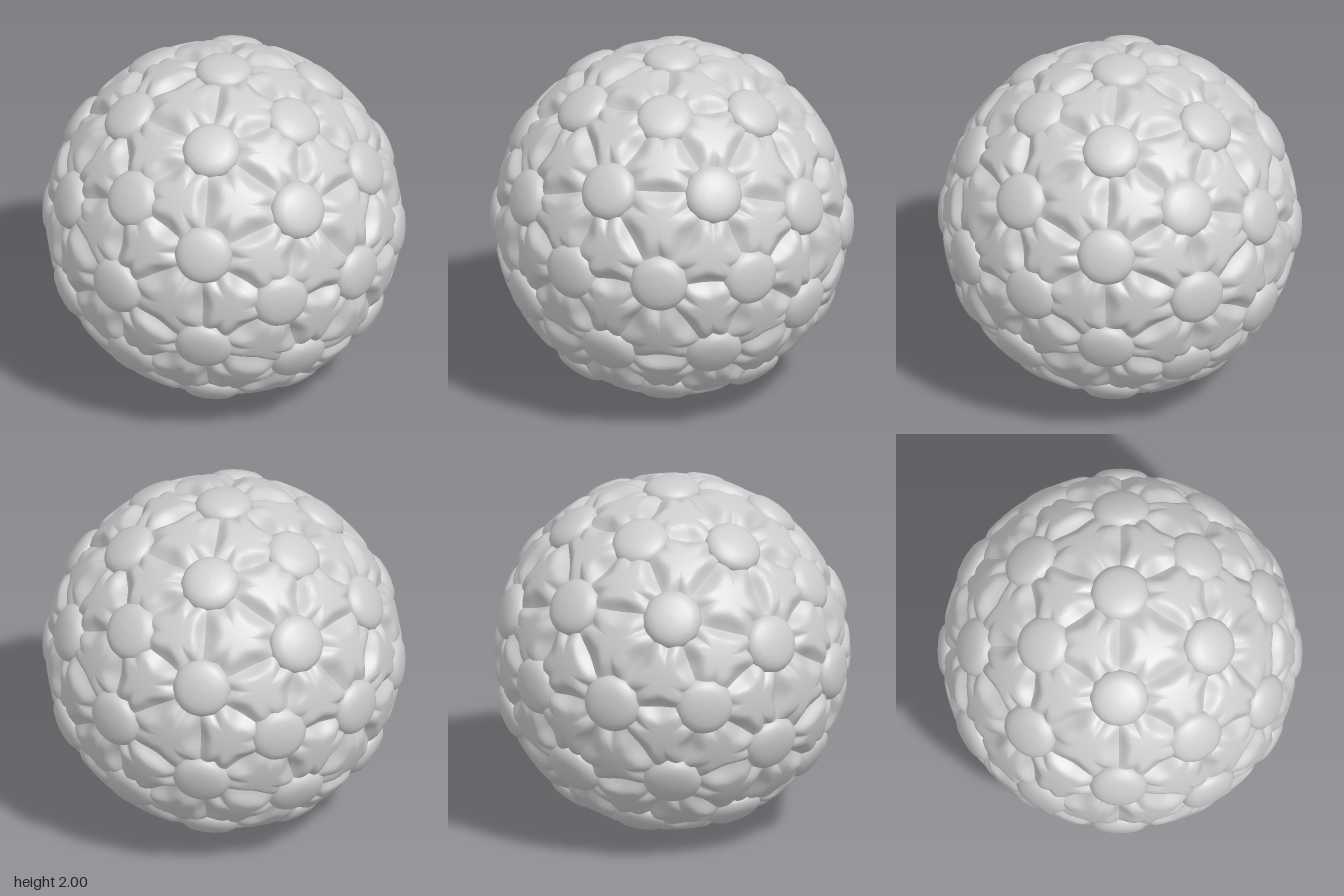
import * as THREE from 'three';
import { mergeGeometries } from 'three/addons/utils/BufferGeometryUtils.js';

const SEGS = 16; // steps along each side of a triangular lobe
const RINGS = 10;
const TOP = 0.978; // radius of the lobe plateaus

// One fluted lobe: a raised plateau falling to the three seams around it
function lobe(corners) {
  const centre = new THREE.Vector3();
  corners.forEach((c) => centre.add(c));
  centre.normalize();
  const pos = [centre.x * TOP, centre.y * TOP, centre.z * TOP];
  const index = [];
  const n = SEGS * 3;
  const p = new THREE.Vector3();
  for (let ring = 1; ring <= RINGS; ring++) {
    for (let i = 0; i < n; i++) {
      const side = Math.floor(i / SEGS);
      const s = (i % SEGS) / SEGS;
      const rim = corners[side].clone().lerp(corners[(side + 1) % 3], s).normalize();
      // Six ridges run out beside the seams, with grooves between them
      const ridge = Math.sin(2 * Math.PI * s) ** 2;
      const start = 0.085 + 0.045 * ridge;
      const end = Math.min(centre.angleTo(rim), 0.235);
      p.copy(centre).lerp(rim, ring / RINGS).normalize();
      const fall = ring === RINGS ? 1 : THREE.MathUtils.smoothstep(centre.angleTo(p), start, end * 1.04);
      const radius = TOP - (0.056 - 0.024 * ridge) * fall;
      p.multiplyScalar(radius);
      pos.push(p.x, p.y, p.z);
      const j = (i + 1) % n;
      const a = 1 + (ring - 1) * n;
      if (ring === 1) index.push(0, 1 + i, 1 + j);
      else index.push(a - n + i, a + i, a + j, a - n + i, a + j, a - n + j);
    }
  }
  const g = new THREE.BufferGeometry();
  g.setAttribute('position', new THREE.Float32BufferAttribute(pos, 3));
  g.setIndex(index);
  g.computeVertexNormals();
  return g;
}

export function createModel() {
  const group = new THREE.Group();
  const grey = new THREE.MeshStandardMaterial({ color: 0xcccccc });
  grey.name = 'light grey';

  // Eighty triangles of a subdivided icosahedron lay out the whole shell
  const layout = new THREE.IcosahedronGeometry(1, 1).getAttribute('position');
  const centres = [];
  const lobes = [];
  for (let i = 0; i < layout.count; i += 3) {
    const corners = [0, 1, 2].map((k) => new THREE.Vector3().fromBufferAttribute(layout, i + k).normalize());
    lobes.push(lobe(corners));
    corners.forEach((c) => {
      if (!centres.some((d) => d.distanceTo(c) < 0.01)) centres.push(c);
    });
  }
  const shell = new THREE.Mesh(mergeGeometries(lobes), grey);
  shell.name = 'flutedShell';
  group.add(shell);

  // A domed button on each corner of the layout
  const profile = [
    [0.155, 0.87], [0.161, 0.93], [0.15, 0.955], [0.13, 0.974],
    [0.1, 0.989], [0.05, 0.998], [0, 1],
  ].map(([x, y]) => new THREE.Vector2(x, y));
  const dome = new THREE.LatheGeometry(profile, 48);
  const up = new THREE.Vector3(0, 1, 0);
  const buttons = new THREE.Group();
  buttons.name = 'domedButtons';
  centres.forEach((c) => {
    const button = new THREE.Mesh(dome, grey);
    button.name = 'button';
    button.quaternion.setFromUnitVectors(up, c);
    buttons.add(button);
  });
  group.add(buttons);

  // Stand the ball on the ground
  group.children.forEach((part) => { part.position.y = 1; });
  return group;
}
